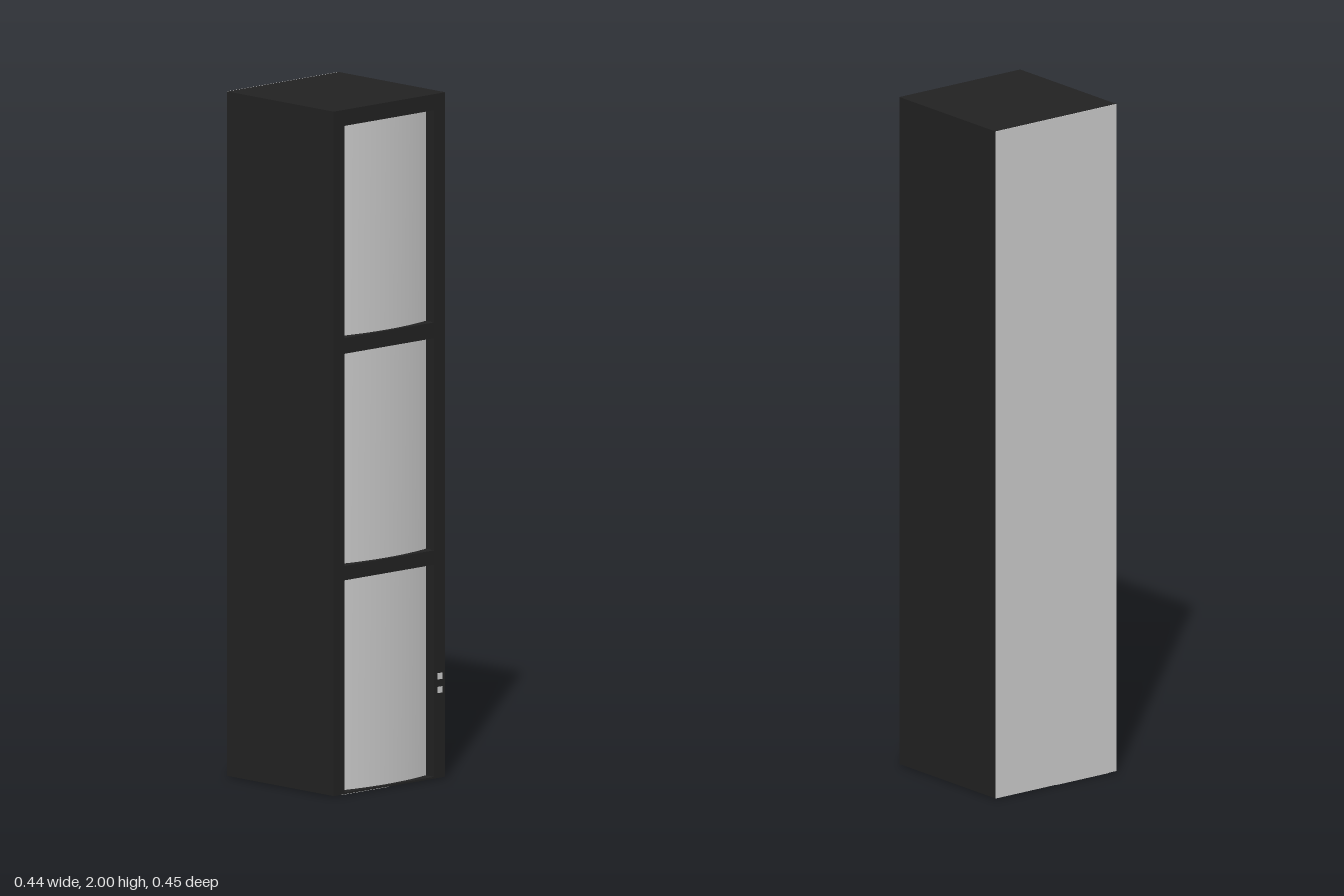
import * as THREE from 'three';

const H = 2, R = 0.222, OPEN = 0.178;
const dark = new THREE.MeshStandardMaterial({ color: 0x222222 });
const grey = new THREE.MeshStandardMaterial({ color: 0xcccccc });
const padGrey = new THREE.MeshStandardMaterial({ color: 0x707070 });

// Vertical extents of the three openings
const bays = [[0.005, 0.625], [0.667, 1.287], [1.333, 1.953]];

function add(group, name, geometry, material, x = 0, y = 0, z = 0) {
  const mesh = new THREE.Mesh(geometry, material);
  mesh.name = name;
  mesh.position.set(x, y, z);
  group.add(mesh);
  return mesh;
}

function box(group, name, material, w, h, d, x, y, z) {
  return add(group, name, new THREE.BoxGeometry(w, h, d), material, x, y, z);
}

// Front frame: one slab with three rectangular openings
function frameGeometry(depth) {
  const shape = new THREE.Shape([
    new THREE.Vector2(-R, 0), new THREE.Vector2(R, 0),
    new THREE.Vector2(R, H), new THREE.Vector2(-R, H)]);
  for (const [a, b] of bays) {
    shape.holes.push(new THREE.Path([
      new THREE.Vector2(-OPEN, a), new THREE.Vector2(-OPEN, b),
      new THREE.Vector2(OPEN, b), new THREE.Vector2(OPEN, a)]));
  }
  return new THREE.ExtrudeGeometry(shape, { depth, bevelEnabled: false });
}

// Gently bowed panel that fills an opening
function panelGeometry(height) {
  const g = new THREE.PlaneGeometry(OPEN * 2, height, 20, 1);
  const p = g.attributes.position;
  for (let i = 0; i < p.count; i++) {
    p.setZ(i, 0.022 * (1 - (p.getX(i) / OPEN) ** 2));
  }
  g.computeVertexNormals();
  return g;
}

export function createModel() {
  const model = new THREE.Group();
  model.name = 'towerCabinet';

  // Cabinet body behind the frame, with a thin pale back
  const frameDepth = 0.045, backThickness = 0.002;
  const bodyDepth = 2 * R - frameDepth - backThickness;
  box(model, 'cabinetBody', dark, 2 * R, H, bodyDepth, 0, H / 2, -R + backThickness + bodyDepth / 2);
  box(model, 'backPanel', grey, 2 * R, H, backThickness, 0, H / 2, -R + backThickness / 2);
  add(model, 'frontFrame', frameGeometry(frameDepth), dark, 0, 0, R - frameDepth);

  // Bowed front panels
  bays.forEach(([a, b], i) => {
    const panel = add(model, 'frontPanel' + (i + 1), panelGeometry(b - a), grey, 0, (a + b) / 2, R - 0.035);
    panel.material = grey;
  });

  // Two small buttons on the left jamb
  for (const y of [0.257, 0.297]) {
    box(model, 'button', grey, 0.018, 0.018, 0.004, 0.2, y, R);
  }

  // Underside: pale plate on one half and a square pad in the middle
  box(model, 'basePlate', grey, 0.19, 0.002, 2 * R, -0.098, 0, 0);
  box(model, 'basePad', padGrey, 0.19, 0.006, 0.2, 0, 0, 0);

  return model;
}
